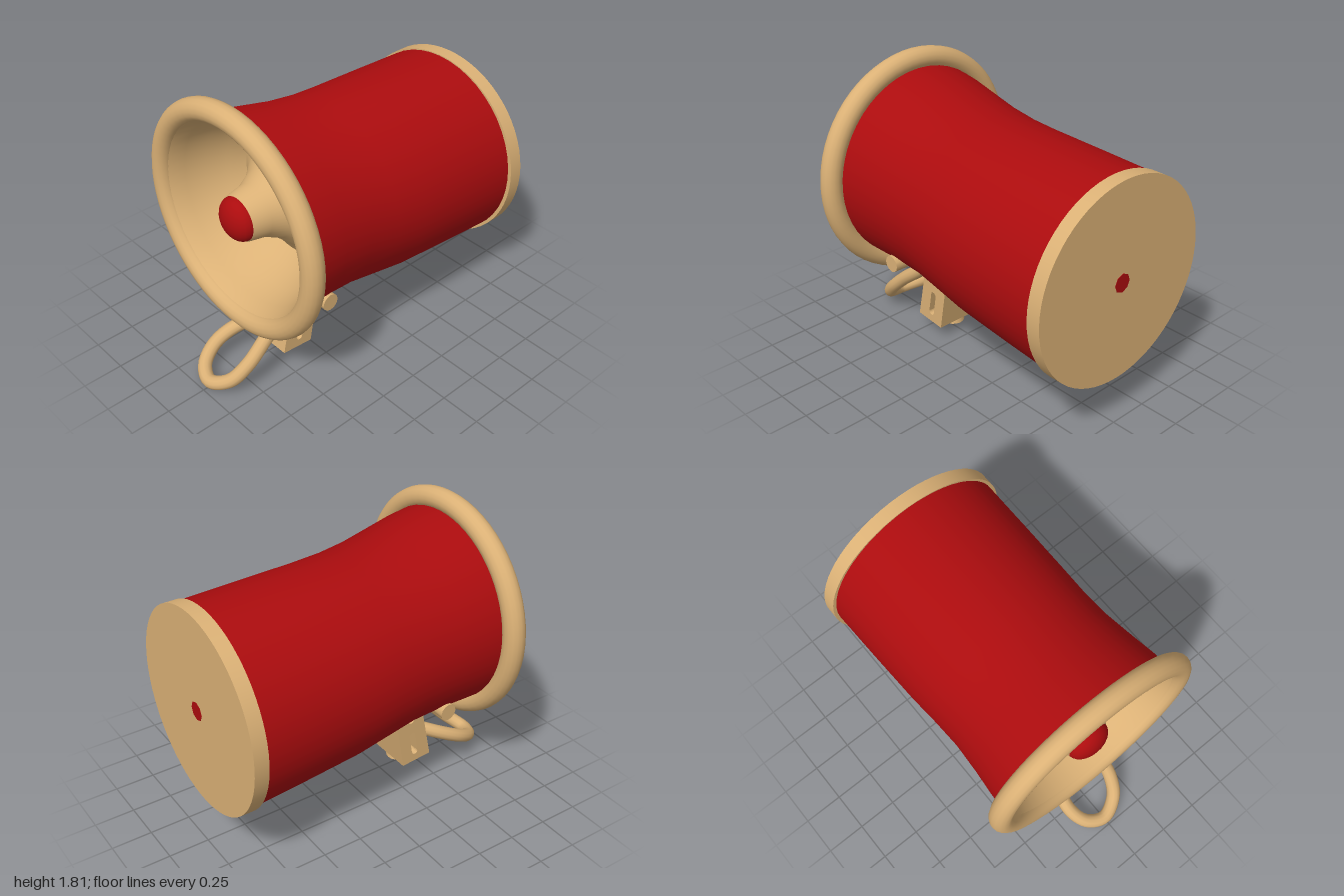
import * as THREE from 'three';

const red = new THREE.MeshStandardMaterial({ color: 0xac0c0e });
red.name = 'red enamel';
const tan = new THREE.MeshStandardMaterial({ color: 0xdbb176 });
tan.name = 'tan brass';

const FRONT_Y = 1.1, BACK_Y = 0.932;

export function createModel() {
  const model = new THREE.Group();
  model.name = 'horn';

  function add(name, geometry, material, x = 0, y = 0, z = 0) {
    const mesh = new THREE.Mesh(geometry, material);
    mesh.name = name;
    mesh.position.set(x, y, z);
    model.add(mesh);
    return mesh;
  }

  // Lathe around the z axis; profile points are [radius, z]
  function latheZ(profile, segments = 48) {
    const points = profile.map(([r, z]) => new THREE.Vector2(r, z));
    return new THREE.LatheGeometry(points, segments).rotateX(Math.PI / 2);
  }

  // Waisted shell: round sections whose centres drop towards the back
  const sections = [ // z, centre y, radius
    [-0.93, 0.934, 0.605], [-0.55, 0.956, 0.597], [-0.2, 0.978, 0.587], [0, 1.003, 0.576],
    [0.2, 1.038, 0.572], [0.4, 1.07, 0.587], [0.55, 1.088, 0.603], [0.69, 1.1, 0.613],
  ];
  const shell = latheZ(sections.map(([z, , r]) => [r, z]));
  const pos = shell.attributes.position;
  for (let i = 0; i < pos.count; i++) {
    pos.setY(i, pos.getY(i) + sections[i % sections.length][1]);
  }
  add('shell', shell, red);

  // Front rim, funnel and flared centre cone with its red tip
  add('frontRim', new THREE.TorusGeometry(0.652, 0.067, 16, 64), tan, 0, FRONT_Y, 0.705);
  add('funnel', latheZ([[0.62, 0.74], [0.585, 0.715], [0.56, 0.62], [0.52, 0.5], [0.46, 0.39], [0.39, 0.3]]),
    tan, 0, FRONT_Y, 0);
  add('centreCone', latheZ([[0.39, 0.3], [0.29, 0.37], [0.21, 0.46], [0.16, 0.56], [0.14, 0.67], [0.12, 0.68]]),
    tan, 0, FRONT_Y, 0);
  add('tip', new THREE.SphereGeometry(0.135, 24, 16), red, 0, FRONT_Y, 0.67).scale.z = 0.65;

  // Back plate with a small red dot
  const plate = new THREE.CylinderGeometry(0.62, 0.62, 0.088, 64).rotateX(Math.PI / 2);
  add('backPlate', plate, tan, 0, BACK_Y, -0.954).scale.set(1.012, 0.99, 1);
  add('backDot', new THREE.CylinderGeometry(0.058, 0.058, 0.006, 8).rotateX(Math.PI / 2),
    red, 0, BACK_Y, -0.997);

  // Side bolts
  for (const side of [1, -1]) {
    const bolt = new THREE.CylinderGeometry(0.053, 0.053, 0.14, 12).rotateZ(Math.PI / 2);
    add(side > 0 ? 'leftBolt' : 'rightBolt', bolt, tan, side * 0.395, 0.64, 0.41);
  }

  // Slotted bracket: side profile drawn in (z, y), extruded across x
  const lean = 0.18;
  function slot(cz, cy, halfLength, r) {
    const path = new THREE.Path();
    const points = [];
    for (let i = 0; i < 16; i++) {
      const a = (i + 0.5) / 16 * Math.PI * 2;
      const px = Math.cos(a) * r;
      const py = Math.sin(a) * r + Math.sign(Math.sin(a)) * (halfLength - r);
      points.push(new THREE.Vector2(
        cz + px * Math.cos(lean) - py * Math.sin(lean),
        cy + px * Math.sin(lean) + py * Math.cos(lean)));
    }
    return path.setFromPoints(points);
  }
  const profile = new THREE.Shape([[0.31, 0.1], [0.52, 0.12], [0.425, 0.58], [0.23, 0.56]]
    .map(([z, y]) => new THREE.Vector2(z, y)));
  profile.holes.push(slot(0.355, 0.465, 0.058, 0.022), slot(0.387, 0.245, 0.088, 0.022));
  const bracket = new THREE.ExtrudeGeometry(profile, { depth: 0.35, bevelEnabled: false });
  bracket.translate(0, 0, -0.175).rotateY(-Math.PI / 2);
  add('bracket', bracket, tan);

  // Knob under the bracket
  add('bracketKnob', new THREE.CylinderGeometry(0.062, 0.076, 0.05, 16), tan, 0, 0.09, 0.395)
    .rotation.x = -0.1;

  // Ring loop hanging forward from the shell and hooking into the bracket
  const loop = new THREE.CatmullRomCurve3([
    [0.15, 0.52, 0.42], [0.165, 0.43, 0.52], [0.175, 0.32, 0.66], [0.17, 0.2, 0.79], [0.12, 0.1, 0.89],
    [0, 0.05, 0.95], [-0.11, 0.075, 0.9], [-0.16, 0.14, 0.78], [-0.13, 0.21, 0.63], [-0.02, 0.27, 0.47],
    [0.04, 0.28, 0.42],
  ].map((p) => new THREE.Vector3(...p)));
  add('loop', new THREE.TubeGeometry(loop, 64, 0.043, 12), tan);

  return model;
}
